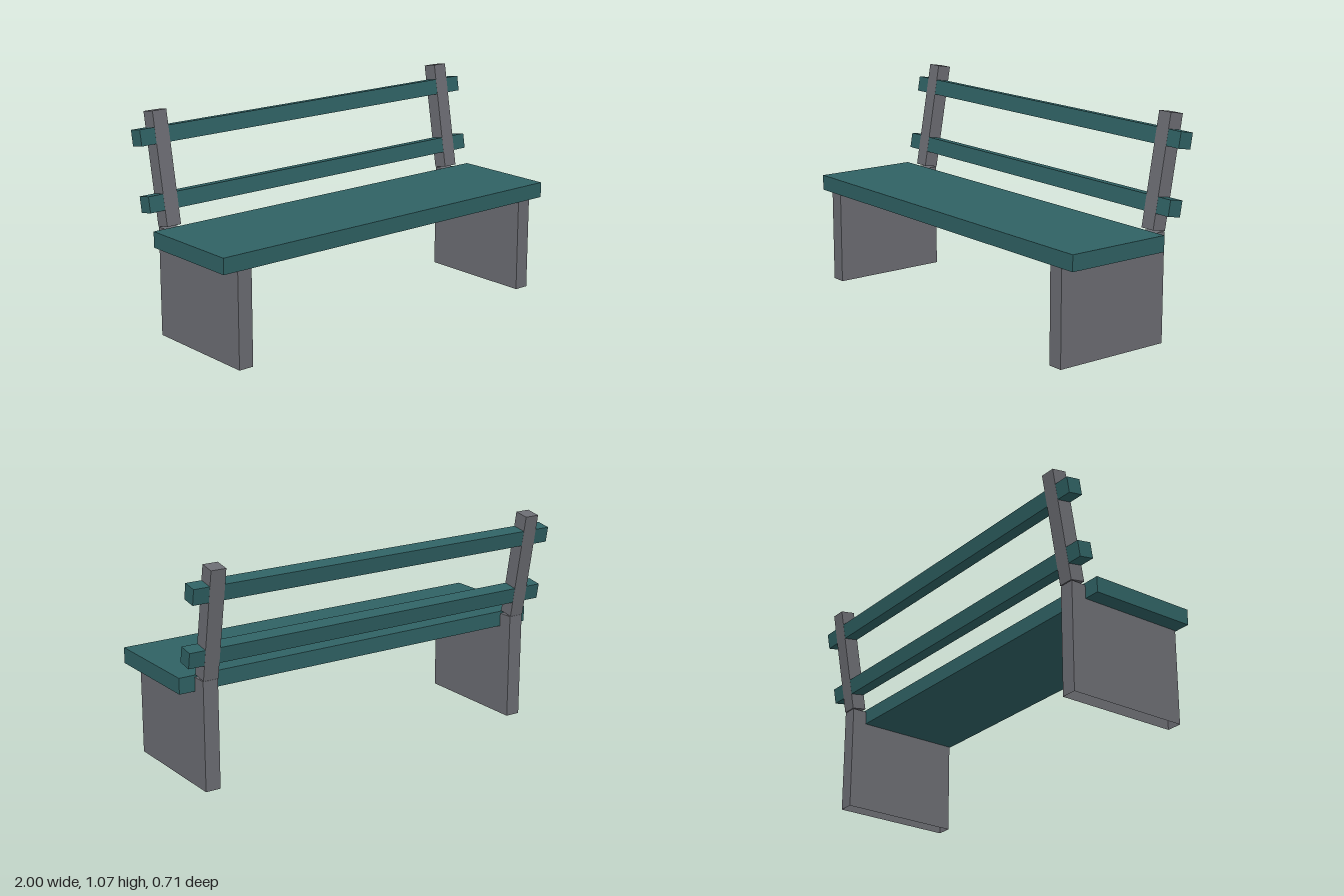
import * as THREE from 'three';

export function createModel() {
  const wood = new THREE.MeshStandardMaterial({ color: 0x2f6163 });
  wood.name = 'teal wood';
  const concrete = new THREE.MeshStandardMaterial({ color: 0x6b6c72, side: THREE.DoubleSide });
  concrete.name = 'grey concrete';

  const model = new THREE.Group();
  model.name = 'bench';

  const addPart = (parent, name, geometry, material, x, y, z) => {
    const mesh = new THREE.Mesh(geometry, material);
    mesh.name = name;
    mesh.position.set(x, y, z);
    parent.add(mesh);
  };

  // Hollow leg slab: a box without its bottom face
  const legGeometry = new THREE.BoxGeometry(0.076, 0.53, 0.607);
  const index = Array.from(legGeometry.index.array);
  index.splice(18, 6);
  legGeometry.setIndex(index);
  legGeometry.clearGroups();

  // Seat plank
  addPart(model, 'seat', new THREE.BoxGeometry(2, 0.077, 0.537), wood, 0, 0.5015, 0.0875);

  // Backrest, leaning back from the rear of the legs
  const backrest = new THREE.Group();
  backrest.name = 'backrest';
  backrest.position.set(0, 0.5385, -0.2235);
  backrest.rotation.x = -THREE.MathUtils.degToRad(10);
  model.add(backrest);

  for (const [side, x] of [['left', 0.882], ['right', -0.882]]) {
    addPart(model, `${side}Leg`, legGeometry, concrete, x, 0.265, 0.0465);
    addPart(backrest, `${side}Post`, new THREE.BoxGeometry(0.076, 0.538, 0.075), concrete, x, 0.269, 0);
  }

  // Rails pass through the posts, a hair thinner so the post faces stay on top
  for (const [name, y] of [['lowerRail', 0.116], ['upperRail', 0.424]]) {
    addPart(backrest, name, new THREE.BoxGeometry(2, 0.077, 0.074), wood, 0, y, 0);
  }

  return model;
}
